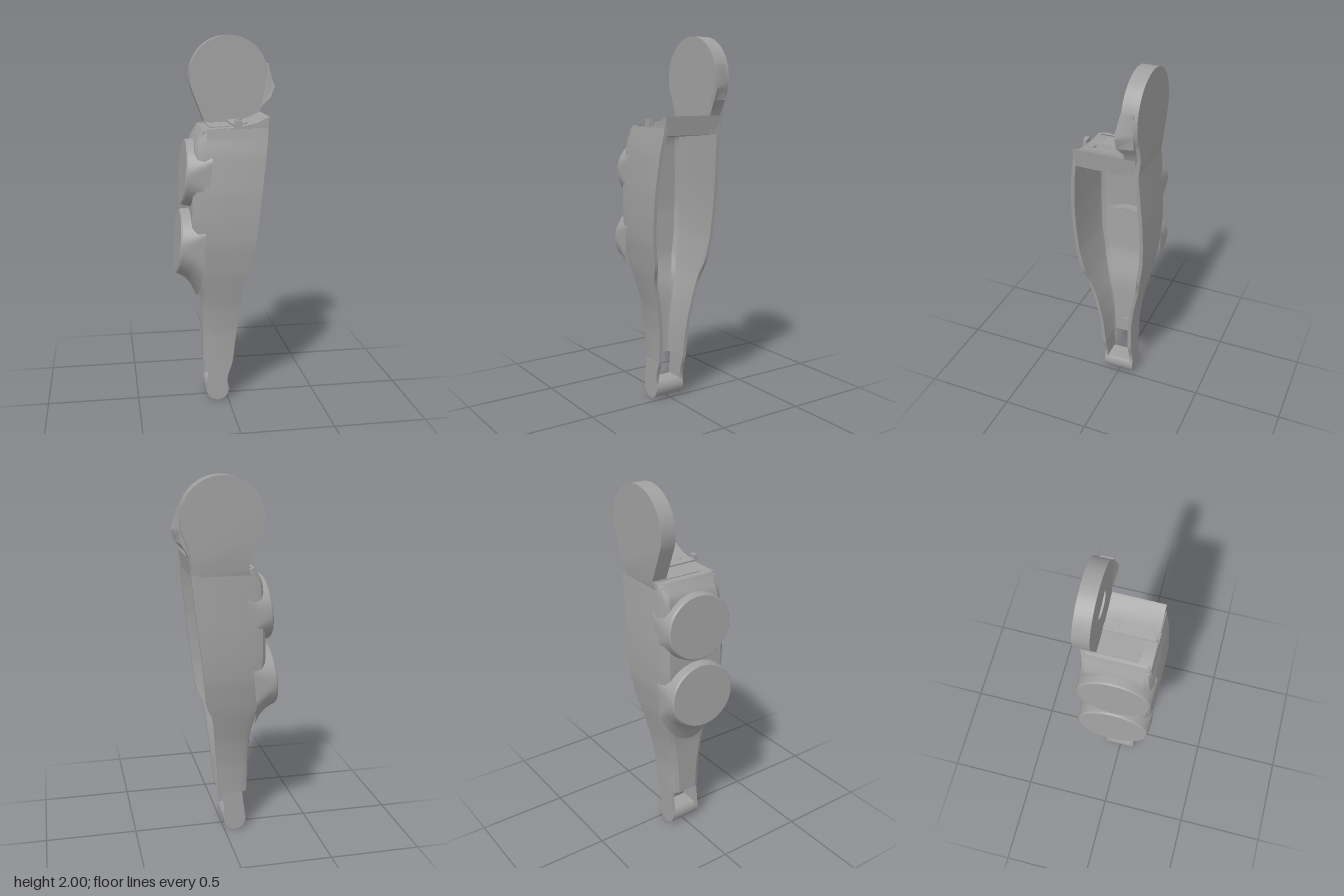
import * as THREE from 'three';
import { toCreasedNormals } from 'three/addons/utils/BufferGeometryUtils.js';

const grey = new THREE.MeshStandardMaterial({ color: 0xa0a0a0 });
grey.name = 'plain grey';

// piecewise smooth interpolation through [y, value] stations
function track(points) {
  const f = (y) => {
    let i = 0;
    while (i < points.length - 2 && y > points[i + 1][0]) i++;
    const [y0, a] = points[i], [y1, b] = points[i + 1];
    return a + (b - a) * THREE.MathUtils.clamp((y - y0) / (y1 - y0), 0, 1);
  };
  return (y) => (f(y - 0.025) + 2 * f(y) + f(y + 0.025)) / 4;
}

function polygon(points) {
  return new THREE.Shape(points.map(([x, y]) => new THREE.Vector2(x, y)));
}

// flat part cut from an xy outline between two z planes
function slab(shape, z0, z1) {
  const g = new THREE.ExtrudeGeometry(shape, { depth: z1 - z0, bevelEnabled: false, curveSegments: 48 });
  return g.translate(0, 0, z0);
}

// open U-shaped shell, lofted upward
function shellGeometry() {
  const front = track([[0.23, 0.025], [0.44, 0.048], [0.69, 0.074], [0.74, 0.09], [0.78, 0.115], [1.5, 0.196]]);
  const seam = track([[0.23, -0.1], [0.45, -0.097], [0.7, -0.11], [1.1, -0.14], [1.4, -0.138], [1.54, -0.12]]);
  const back = track([[0.23, -0.138], [0.57, -0.14], [0.64, -0.15], [0.78, -0.19], [1.05, -0.205], [1.3, -0.195], [1.46, -0.185], [1.54, -0.13]]);
  const left = track([[0.23, 0.09], [0.4, 0.097], [0.55, 0.118], [0.75, 0.165], [0.92, 0.193], [1.05, 0.2], [1.2, 0.2], [1.4, 0.185], [1.54, 0.162]]);
  const right = track([[0.23, 0.09], [0.4, 0.097], [0.55, 0.118], [0.75, 0.165], [0.92, 0.193], [1.05, 0.2], [1.2, 0.2], [1.54, 0.186]]);
  const rings = 40, n = 8, count = 2 * n, t = 0.02;
  const pos = [], idx = [];
  for (let j = 0; j <= rings; j++) {
    const y = 0.23 + (1.3 * j) / rings;
    const f = front(y), s = seam(y), b = back(y), l = left(y), r = right(y);
    const mid = s + (b - s) * 0.7, inMid = s + (b + t - s) * 0.7;
    const loop = [
      [f, l], [s, l], [mid, l - 0.012], [b, l - 0.035], [b, -r + 0.035], [mid, -r + 0.012], [s, -r], [f, -r],
      [f, -r + t], [s, -r + t], [inMid, -r + t + 0.006], [b + t, -r + 0.045],
      [b + t, l - 0.045], [inMid, l - t - 0.006], [s, l - t], [f, l - t],
    ];
    loop.forEach(([x, z]) => pos.push(x, y, z));
  }
  for (let j = 0; j < rings; j++) {
    for (let i = 0; i < count; i++) {
      const a = j * count + i, b = j * count + ((i + 1) % count);
      idx.push(a, a + count, b + count, a, b + count, b);
    }
  }
  // end caps join the outer and inner halves of the loop
  const top = rings * count;
  for (let i = 0; i < n - 1; i++) {
    const a = i, b = i + 1, c = count - 2 - i, d = count - 1 - i;
    idx.push(a, b, c, a, c, d);
    idx.push(top + a, top + c, top + b, top + a, top + d, top + c);
  }
  const g = new THREE.BufferGeometry();
  g.setAttribute('position', new THREE.Float32BufferAttribute(pos, 3));
  g.setIndex(idx);
  return g;
}

// raised round pad on the -x side, with an optional flare at its lower edge
function padGeometry(x, y, flare) {
  const profile = [[0.2, 0], [0.19, 0.035], [0.183, 0.07], [0.178, 0.105], [0.175, 0.122], [0.168, 0.13], [0, 0.13]];
  const g = new THREE.LatheGeometry(profile.map(([r, h]) => new THREE.Vector2(r, h - 0.13)), 64);
  g.rotateZ(Math.PI / 2);
  const p = g.attributes.position;
  for (let i = 0; i < p.count; i++) {
    const depth = p.getX(i) / 0.13;
    const low = Math.max(0, -p.getY(i) / 0.2);
    p.setY(i, p.getY(i) - flare * depth * depth * low * low);
    p.setZ(i, THREE.MathUtils.clamp(p.getZ(i) * 1.11, -0.197, 0.197));
  }
  return g.rotateZ(-0.092).translate(x, y, 0);
}

export function createModel() {
  const model = new THREE.Group();
  const add = (name, geometry, crease = 0.5) => {
    const mesh = new THREE.Mesh(toCreasedNormals(geometry, crease), grey);
    mesh.name = name;
    model.add(mesh);
    return mesh;
  };

  add('shell', shellGeometry(), 0.45);
  add('lowerPad', padGeometry(-0.27, 0.91, 0.1));
  add('upperPad', padGeometry(-0.238, 1.29, 0));

  // fork prongs with a round foot, joined by a bar
  const prong = new THREE.Shape();
  prong.moveTo(0.026, 0.24);
  prong.lineTo(0.018, 0.2);
  prong.quadraticCurveTo(-0.012, 0.13, -0.002, 0.09);
  prong.absarc(-0.06, 0.0625, 0.0625, 0.45, Math.PI - 0.3, true);
  prong.lineTo(-0.1, 0.24);
  add('leftProng', slab(prong, 0.07, 0.09));
  add('rightProng', slab(prong, -0.09, -0.07));
  const bar = new THREE.Shape();
  bar.absarc(-0.06, 0.0625, 0.0625, 0.64, Math.PI - 0.64, true);
  add('footBar', slab(bar, -0.075, 0.075));

  // small round seat inside the channel
  const seat = new THREE.CylinderGeometry(0.03, 0.03, 0.008, 32).rotateZ(Math.PI / 2);
  add('pinSeat', seat.translate(-0.116, 0.3, 0));

  // top plate rising toward the open side
  const plate = polygon([[-0.15, 1.46], [0.19, 1.49], [0.205, 1.59], [0.19, 1.585], [0.14, 1.56], [0.08, 1.545], [0, 1.535], [-0.1, 1.53], [-0.145, 1.515]]);
  add('topPlate', slab(plate, -0.175, 0.16));

  // latch strip with two side tabs and a front hook
  const strip = new THREE.Shape();
  strip.moveTo(0.02, 0.155);
  strip.lineTo(0.02, -0.115);
  strip.lineTo(0.058, -0.115);
  for (const z of [-0.058, 0.115]) {
    strip.lineTo(0.058, z - 0.018);
    strip.lineTo(0.078, z - 0.018);
    strip.absarc(0.078, z, 0.018, -Math.PI / 2, Math.PI / 2, false);
    strip.lineTo(0.058, z + 0.018);
  }
  strip.lineTo(0.058, 0.155);
  const latch = slab(strip, -0.008, 0).rotateX(Math.PI / 2).rotateZ(0.17);
  add('latchStrip', latch.translate(0.0, 1.537, 0));
  add('latchHook', new THREE.BoxGeometry(0.038, 0.045, 0.02).translate(0.04, 1.552, 0.16));
  add('coverPanel', new THREE.BoxGeometry(0.115, 0.006, 0.21).rotateZ(0.04).translate(-0.042, 1.534, -0.008));

  // round lug on a neck, with a blind hole in its front face
  const lug = () => {
    const s = new THREE.Shape();
    s.moveTo(-0.115, 1.49);
    s.lineTo(-0.1, 1.54);
    s.absarc(0.035, 1.785, 0.215, Math.PI + 0.36, -0.52, true);
    s.quadraticCurveTo(0.205, 1.63, 0.2, 1.59);
    s.lineTo(0.192, 1.49);
    return s;
  };
  const lugFront = lug();
  lugFront.holes.push(new THREE.Path().absarc(0.035, 1.785, 0.065, 0, Math.PI * 2, true));
  const lugBack = slab(lug(), -0.2, -0.15);
  const p = lugBack.attributes.position;
  for (let i = 0; i < p.count; i++) {
    if (p.getY(i) < 1.53 && p.getZ(i) < -0.19) p.setZ(i, -0.186);
  }
  add('lugBack', lugBack);
  add('lugFront', slab(lugFront, -0.15, -0.115));

  // hooked fin on the edge of the lug
  const fin = slab(polygon([[0.2, 1.58], [0.215, 1.62], [0.262, 1.67], [0.285, 1.73], [0.272, 1.76], [0.25, 1.85], [0.21, 1.8]]), -0.18, -0.116);
  const q = fin.attributes.position;
  for (let i = 0; i < q.count; i++) {
    if (q.getZ(i) < -0.15) q.setX(i, Math.min(q.getX(i), 0.248));
    else if (q.getX(i) > 0.26) q.setZ(i, -0.098);
  }
  add('fin', fin);

  return model;
}
